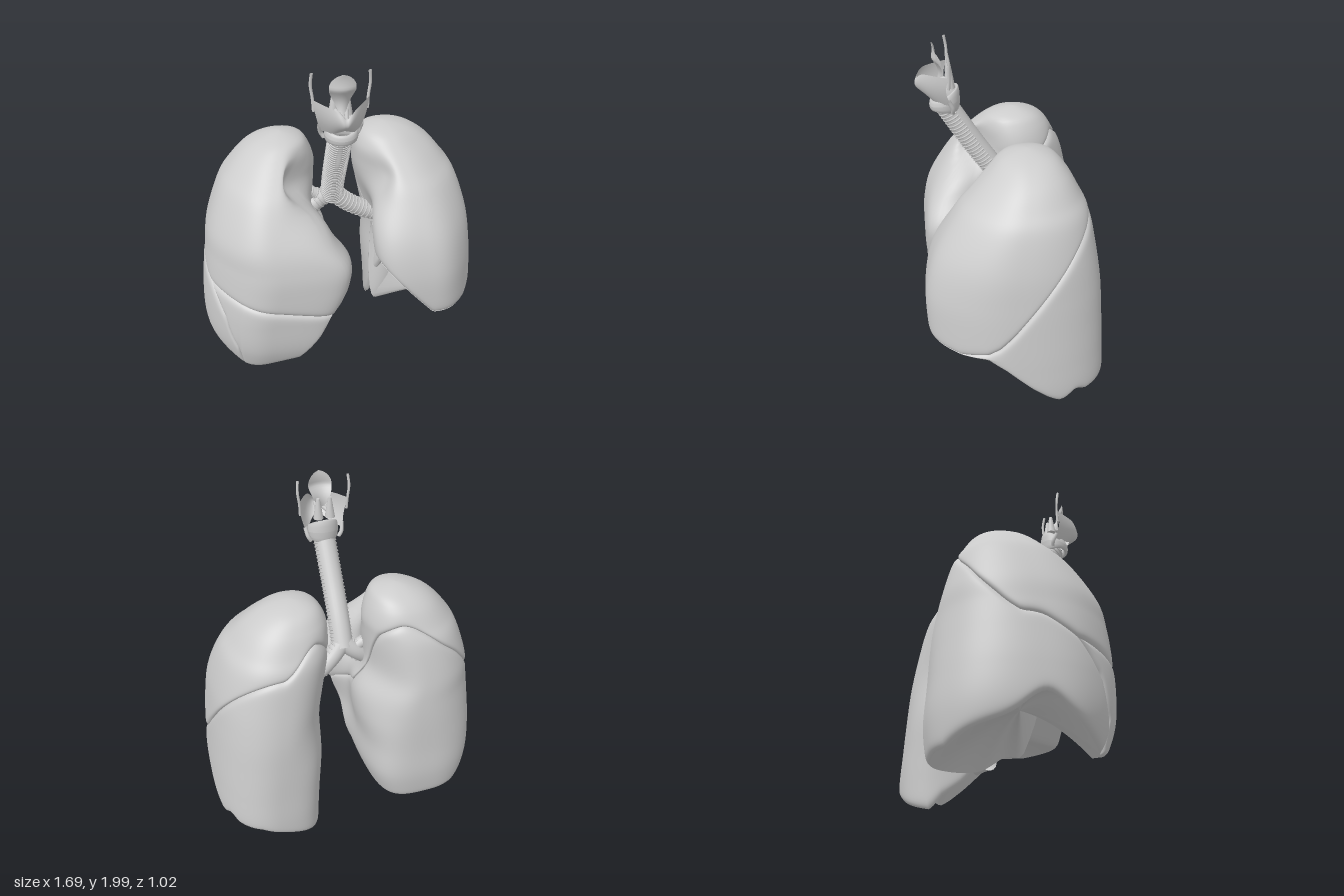
import * as THREE from 'three';

const V = (x, y, z) => new THREE.Vector3(x, y, z);
const gauss = (d) => Math.exp(-d * d);
const smooth = (a, b, v) => {
  const t = Math.min(1, Math.max(0, (v - a) / (b - a)));
  return t * t * (3 - 2 * t);
};
// piecewise linear lookup in [[x, y], ...]
const lookup = (pts, v) => {
  if (v <= pts[0][0]) return pts[0][1];
  for (let i = 1; i < pts.length; i++) {
    const [a, p] = pts[i - 1], [b, q] = pts[i];
    if (v <= b) return p + (q - p) * (v - a) / (b - a);
  }
  return pts[pts.length - 1][1];
};

// Grid surface from fn(i, j) -> Vector3, optionally closed along i
function surface(nu, nv, fn, wrap, flip = false) {
  const pos = [], idx = [], cols = wrap ? nu : nu + 1;
  for (let j = 0; j <= nv; j++)
    for (let i = 0; i < cols; i++) pos.push(...fn(i / nu, j / nv).toArray());
  for (let j = 0; j < nv; j++)
    for (let i = 0; i < nu; i++) {
      const k = (i + 1) % cols, a = j * cols + i, b = j * cols + k, c = a + cols, d = b + cols;
      if (flip) idx.push(a, c, b, b, c, d);
      else idx.push(a, b, c, b, d, c);
    }
  const g = new THREE.BufferGeometry();
  g.setAttribute('position', new THREE.Float32BufferAttribute(pos, 3));
  g.setIndex(idx);
  g.computeVertexNormals();
  return g;
}

// Lung sections from apex to base: [y, medial x, lateral x, back z, front z]
const leftLung = {
  rows: [[1.505, .29, .29, -.08, -.08], [1.475, .17, .43, -.21, .05], [1.4, .115, .55, -.29, .14],
    [1.3, .1, .64, -.35, .24], [1.2, .1, .71, -.4, .33], [1, .12, .775, -.44, .45], [.8, .15, .805, -.47, .505],
    [.6, .17, .825, -.485, .51], [.4, .2, .84, -.495, .49], [.2, .22, .845, -.505, .46],
    [0, .23, .82, -.5, .43], [-.2, .24, .8, -.48, .4]],
  square: 2, backSquare: 1.2, back: .1, hilum: .13, width: .18, groove: .09,
  oblique: (x, z) => lookup([[-.41, 1.2], [-.3, 1.07], [-.1, .82], [.05, .64], [.13, .56], [.2, .515], [.35, .48], [.5, .5]], z)
    + Math.max(0, .5 - x) * 1.1 * smooth(0, .25, z) + .25 * smooth(.45, .2, x) * smooth(0, -.2, z),
  rim: (x, z) => lookup([[-.37, 0], [-.3, .09], [-.15, .19], [-.05, .27], [.1, .41], [.2, .48], [.35, .475], [.5, .495]], z)
    + Math.max(0, .5 - x) * 1.1 * smooth(-.2, .15, z)
    + Math.min(.17, Math.max(-.02, (x - .24) * .42)) * smooth(-.2, -.37, z),
  dome: .16, face: true,
};
const rightLung = {
  rows: [[1.49, -.32, -.32, -.08, -.08], [1.46, -.2, -.44, -.2, .05], [1.4, -.15, -.54, -.28, .13],
    [1.3, -.11, -.635, -.34, .23], [1.2, -.1, -.7, -.39, .32], [1, -.06, -.775, -.44, .44], [.85, .03, -.8, -.465, .485],
    [.7, .02, -.82, -.48, .495], [.5, -.05, -.84, -.49, .49], [.3, -.08, -.84, -.5, .47],
    [.1, -.15, -.8, -.48, .4], [-.1, -.2, -.75, -.45, .35]],
  square: 5, backSquare: 1.5, back: .6, hilum: .13, width: .14, groove: .16,
  oblique: (x, z) => lookup([[-.42, 1.2], [-.3, 1.06], [-.1, .84], [.2, .68], [.27, .6], [.34, .5], [.39, .3], [.41, .05]], z)
    + .25 * smooth(-.6, -.25, x) * smooth(-.05, -.25, z) - .08 * smooth(-.55, -.75, x) * smooth(.05, -.2, z)
    - smooth(-.65, -.6, x) * smooth(.2, .35, z),
  horizontal: (x) => .55 - (x + .18) * .21,
  rim: (x, z) => .11 + lookup([[-.6, .02], [-.3, .09], [-.18, .25], [-.1, .41], [.05, .63]], x) * smooth(.05, .25, z)
    + Math.max(0, -.63 - x) * .6 + .12 * gauss((z - .02) / .14),
  dome: .16,
};

// Point of the lung wall at angle t and section position u (0 apex, 1 base)
function wall(L, t, u) {
  const R = L.rows, n = R.length - 1, f = u * n, i = Math.min(n - 1, Math.floor(f)), w = f - i;
  const [y1, m1, l1, b1, f1] = R[1];
  const p0 = i ? R[i - 1] : [y1, l1, m1, f1, b1], p3 = R[Math.min(n, i + 2)];
  const [y, xm, xl, zb, zf] = R[i].map((p1, k) => {
    const a = p0[k], b = R[i + 1][k], c = p3[k];
    return p1 + .5 * w * (b - a + w * (2 * a - 5 * p1 + 4 * b - c + w * (3 * (p1 - b) + c - a)));
  });
  const c = Math.cos(t), s = Math.sin(t), medial = Math.max(0, -2 * c * Math.abs(s));
  const e = 2.3 - .4 * Math.max(0, 2 * c * s) * (s > 0 ? 1 : 0)
    + medial * (s > 0 ? L.square * smooth(1.2, .85, y) : L.backSquare * smooth(.9, .4, y));
  const r = (Math.abs(c) ** e + Math.abs(s) ** e) ** (-1 / e);
  const z = (zb + zf) / 2 + (zf - zb) / 2 * s * r;
  let x = (xm + xl) / 2 + (xl - xm) / 2 * c * r;
  // hollow on the medial side around the root of the lung, and a groove in front of the apex
  const g = gauss((z - .06) / L.width), hollow = z < .06 ? L.back + (1 - L.back) * g : g;
  const depth = L.hilum * gauss((y - .85) / (y < .85 ? .4 : .3)) * hollow
    + L.groove * gauss((y - 1.27) / .13) * gauss((z - .17) / .13);
  x += Math.sign(xl - xm) * depth * smooth(0, .8, -c);
  const p = V(x, y, z);
  p.axis = V((xm + xl) / 2, y, (zb + zf) / 2);
  return p;
}

// Section position where the wall meets the height field h(x, z)
function meet(L, t, h) {
  let a = 0, b = 1;
  for (let k = 0; k < 24; k++) {
    const m = (a + b) / 2, p = wall(L, t, m);
    if (p.y > h(p.x, p.z)) a = m; else b = m;
  }
  return (a + b) / 2;
}

const STEPS = 128;
function buildLung(L, side, add) {
  const flip = side === 'right';
  const edges = Array.from({ length: STEPS }, (_, i) => {
    const t = i / STEPS * Math.PI * 2, base = meet(L, t, L.rim);
    const oblique = Math.min(base, meet(L, t, L.oblique));
    const horizontal = L.horizontal ? Math.min(oblique, meet(L, t, L.horizontal)) : oblique;
    return { t, apex: 0, horizontal, oblique, base };
  });
  const pinched = (t, u, ends) => {
    const p = wall(L, t, u), { axis } = p;
    let k = 0;
    for (const q of ends) k = Math.max(k, Math.exp(-p.distanceTo(q) / .014));
    return p.add(axis.sub(p).setLength(.02 * k));
  };
  // lobes, with edges rolled in to form the fissures
  const lobe = (name, top, bottom) => {
    const ends = edges.map((e) => [top, bottom].filter((k) => k !== 'apex').map((k) => wall(L, e.t, e[k])));
    add(name, surface(STEPS, 48, (a, b) => {
      const i = Math.round(a * STEPS), e = edges[i];
      const w = top === 'apex' ? Math.sin(b * Math.PI / 2) : (1 - Math.cos(b * Math.PI)) / 2;
      return pinched(e.t, e[top] + (e[bottom] - e[top]) * w, ends[i]);
    }, true, flip));
  };
  lobe(side + 'UpperLobe', 'apex', 'horizontal');
  if (L.horizontal) lobe(side + 'MiddleLobe', 'horizontal', 'oblique');
  lobe(side + 'LowerLobe', 'oblique', 'base');
  // hollow underside; on the left, the lower lobe shows a front face below the upper lobe
  const rim = edges.map((e) => pinched(e.t, e.base, [wall(L, e.t, e.base)]));
  const mid = rim.reduce((s, p) => s.add(p), V(0, 0, 0)).divideScalar(STEPS);
  if (L.face) mid.set(.52, .24, -.15);
  const top = mid.clone().setY(mid.y + L.dome);
  const paths = rim.map((p) => new THREE.CatmullRomCurve3([p,
    V(p.x * .9 + .05, Math.max(p.y * .95, .5) + .06, -.01),
    V(p.x * .85 + .09, .24 + p.x * .14, .02), top]));
  add(side + 'Underside', surface(STEPS, 32, (a, b) => {
    const i = Math.round(a * STEPS), p = rim[i].clone().lerp(mid, b);
    p.y += L.dome * (1 - (1 - b) ** 2);
    return L.face ? p.lerp(paths[i].getPoint(b), smooth(.02, .25, rim[i].z)) : p;
  }, true, flip));
}

export function createModel() {
  const model = new THREE.Group();
  const grey = new THREE.MeshStandardMaterial({ color: 0xcccccc, side: THREE.DoubleSide });
  grey.name = 'grey';
  const add = (name, geometry) => {
    const m = new THREE.Mesh(geometry, grey);
    m.name = name;
    model.add(m);
    return m;
  };
  buildLung(leftLung, 'left', add);
  buildLung(rightLung, 'right', add);

  // airway tubes with cartilage rings open at the back
  const airway = (name, pts, r, rings) => {
    const curve = new THREE.CatmullRomCurve3(pts.map((p) => V(...p)));
    add(name, new THREE.TubeGeometry(curve, 32, r, 24));
    for (let i = 0; i < rings; i++) {
      const u = (i + .5) / rings;
      const ring = add(name + 'Ring', new THREE.TorusGeometry(r, .005, 6, 24, 4.2));
      const z = curve.getTangentAt(u), x = V(0, 0, 1).cross(z).normalize(), y = z.clone().cross(x);
      ring.quaternion.setFromRotationMatrix(new THREE.Matrix4().makeBasis(x, y, z));
      ring.rotateZ((y.z > 0 ? Math.PI / 2 : -Math.PI / 2) - 2.1);
      ring.position.copy(curve.getPointAt(u));
    }
  };
  airway('trachea', [[-.035, 1.64, .335], [-.035, 1.4, .185], [-.03, 1.2, .05], [-.025, 1.06, -.03]], .063, 32);
  airway('leftBronchus', [[-.03, 1.1, -.02], [.05, 1.01, -.04], [.16, .93, -.06], [.32, .86, -.07]], .053, 15);
  airway('rightBronchus', [[-.02, 1.1, -.02], [-.1, 1.03, -.04], [-.2, .95, -.03], [-.32, .88, -.02]], .052, 11);
  airway('rightUpperBranch', [[-.08, 1.05, -.04], [-.16, 1.09, -.04], [-.28, 1.13, -.05]], .035, 7);
  airway('rightLowerBranch', [[-.14, 1, -.02], [-.19, .88, .02], [-.26, .76, .02]], .03, 6);

  // larynx
  const cx = -.033;
  add('thyroidCartilage', surface(40, 12, (a, b) => {
    const s = a * 2 - 1, k = Math.sqrt(s * s + .03) - .1;
    const top = 1.845 - .045 * gauss(s / .25), low = 1.67 + .045 * gauss(s / .5);
    return V(cx + s * (.15 - .04 * b), top + (low - top) * b,
      .5 - .2 * k + .02 * Math.sin(Math.PI * b) - .05 * b * b * (1 - k * .8) + .02 * Math.sin(Math.PI * Math.abs(s)));
  }, false, true));
  for (const s of [-1, 1]) {
    const horn = (name, pts, r) => add(name, new THREE.TubeGeometry(
      new THREE.CatmullRomCurve3(pts.map(([x, y, z]) => V(cx + s * x, y, z))), 12, r, 8));
    horn('upperHorn', [[.14, 1.78, .32], [.144, 1.85, .315], [.153, 1.92, .315], [.148, 1.985, .325]], .008);
    horn('lowerHorn', [[.112, 1.7, .32], [.102, 1.65, .3], [.085, 1.62, .3]], .012);
    const cone = add('arytenoid', new THREE.CylinderGeometry(.01, .03, .12, 12));
    cone.position.set(cx + s * .035, 1.81, .31);
    horn('vocalFold', [[.03, 1.78, .32], [.02, 1.78, .38], [.008, 1.78, .45]], .012);
  }
  // ring that stands taller at the back
  add('cricoidCartilage', surface(40, 12, (a, b) => {
    const t = a * Math.PI * 2, p = b * Math.PI * 2, back = (1 - Math.sin(t)) / 2;
    const r = .073 + .013 * Math.cos(p), half = .03 + .045 * back ** 1.5;
    return V(cx + Math.cos(t) * r * 1.05, 1.645 + .035 * back + half * Math.sin(p), .34 + Math.sin(t) * r);
  }, true));
  // leaf-shaped flap
  add('epiglottis', surface(20, 20, (a, b) => {
    const s = a * 2 - 1, w = .012 * (1 - b) + .066 * Math.sin(Math.PI * b ** 1.8) ** .65;
    return V(cx + s * w, 1.77 + .23 * b, .385 + .03 * b - .025 * Math.sin(b * Math.PI * 1.6) * (b < .625 ? 1 : -.6)
      - .025 * s * s * Math.sin(Math.PI * b));
  }, false));
  return model;
}
